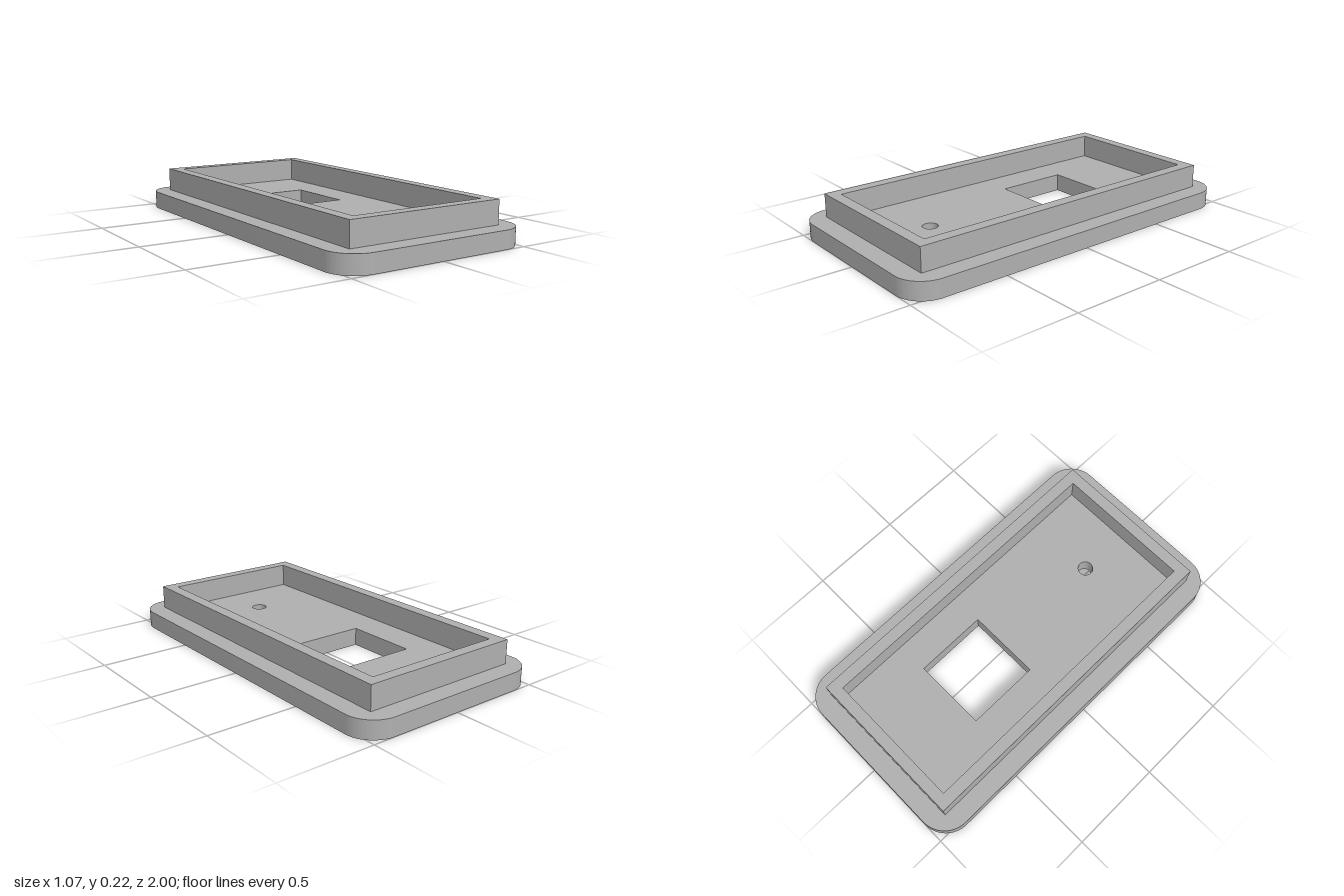
import * as THREE from 'three';
import { toCreasedNormals } from 'three/addons/utils/BufferGeometryUtils.js';

// Rectangle outline; the shape's y is the model's -z
function rect(target, x0, x1, z0, z1) {
  target.moveTo(x0, -z1);
  target.lineTo(x1, -z1);
  target.lineTo(x1, -z0);
  target.lineTo(x0, -z0);
  target.closePath();
  return target;
}

function roundedRect(w, d, r) {
  const s = new THREE.Shape();
  s.absarc(w - r, d - r, r, 0, Math.PI / 2);
  s.absarc(r - w, d - r, r, Math.PI / 2, Math.PI);
  s.absarc(r - w, r - d, r, Math.PI, Math.PI * 1.5);
  s.absarc(w - r, r - d, r, Math.PI * 1.5, Math.PI * 2);
  s.closePath();
  return s;
}

// Upright slab from a plan outline
function slab(name, shape, y, height, material) {
  const geo = new THREE.ExtrudeGeometry(shape, { depth: height, bevelEnabled: false, curveSegments: 16 });
  geo.rotateX(-Math.PI / 2);
  geo.translate(0, y, 0);
  const mesh = new THREE.Mesh(toCreasedNormals(geo, 0.5), material);
  mesh.name = name;
  return mesh;
}

export function createModel() {
  const group = new THREE.Group();
  group.name = 'coverPlate';
  const grey = new THREE.MeshStandardMaterial({ color: 0xb0b0b0 });
  grey.name = 'grey plastic';

  const plateHeight = 0.094, rimHeight = 0.125;

  // Rounded base plate with a square window and a round hole
  const plate = roundedRect(0.533, 1, 0.15);
  plate.holes.push(rect(new THREE.Path(), -0.198, 0.198, -0.46, -0.068));
  const hole = new THREE.Path();
  hole.absarc(0, -0.56, 0.04, 0, Math.PI * 2, true);
  plate.holes.push(hole);
  group.add(slab('basePlate', plate, 0, plateHeight, grey));

  // Raised rectangular rim
  const rim = rect(new THREE.Shape(), -0.436, 0.434, -0.9, 0.897);
  rim.holes.push(rect(new THREE.Path(), -0.374, 0.372, -0.84, 0.836));
  group.add(slab('rim', rim, plateHeight, rimHeight, grey));

  return group;
}
